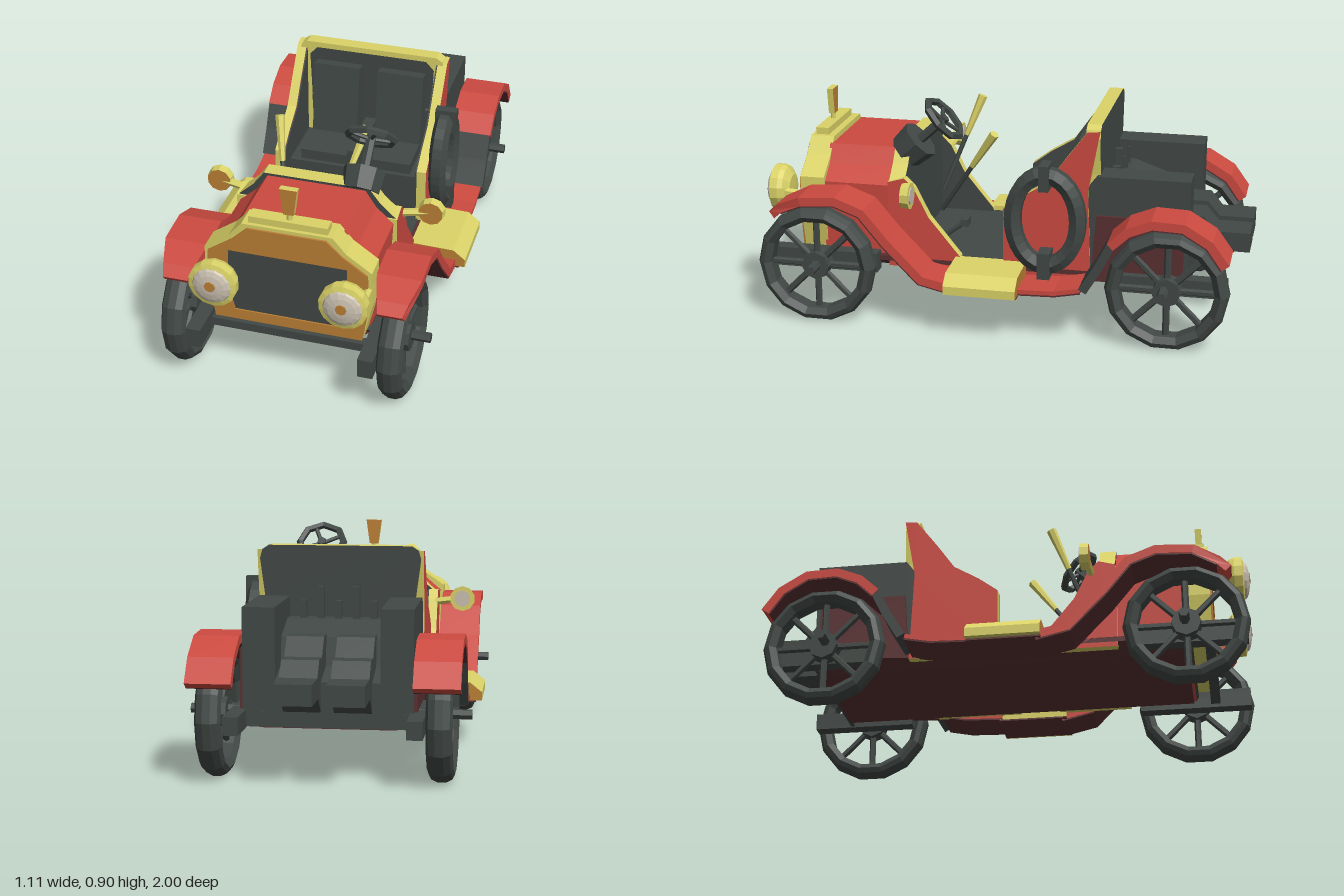
import * as THREE from 'three';

const paint = (name, color) => Object.assign(new THREE.MeshStandardMaterial({ color }), { name });
const red = paint('red paint', 0xcb4a40);
const maroon = paint('dark underside', 0x5a3032);
const brass = paint('pale brass', 0xdbd368);
const bronze = paint('bronze', 0xbd8036);
const dark = paint('dark leather and iron', 0x414845);
const glass = paint('lamp glass', 0xcac0b0);

const V = (x, y, z) => new THREE.Vector3(x, y, z);
const shapeOf = pts => new THREE.Shape(pts.map(p => new THREE.Vector2(p[0], p[1])));

// Faceted mesh added to a parent
function add(parent, name, geo, mat, x = 0, y = 0, z = 0) {
  const g = geo.index ? geo.toNonIndexed() : geo;
  g.computeVertexNormals();
  const m = new THREE.Mesh(g, mat);
  m.name = name;
  m.position.set(x, y, z);
  parent.add(m);
  return m;
}
// Box given by its min and max on each axis
function box(parent, name, mat, x0, x1, y0, y1, z0, z1) {
  return add(parent, name, new THREE.BoxGeometry(x1 - x0, y1 - y0, z1 - z0), mat,
    (x0 + x1) / 2, (y0 + y1) / 2, (z0 + z1) / 2);
}
// (z, y) outline pushed out from x0 to x1
function sideExtrude(pts, x0, x1) {
  return new THREE.ExtrudeGeometry(shapeOf(pts), { depth: x1 - x0, bevelEnabled: false })
    .rotateY(-Math.PI / 2).translate(x1, 0, 0);
}
// (x, y) outline pushed out from z0 to z1
function frontExtrude(pts, z0, z1, hole) {
  const s = shapeOf(pts);
  if (hole) s.holes.push(shapeOf(hole));
  return new THREE.ExtrudeGeometry(s, { depth: z1 - z0, bevelEnabled: false }).translate(0, 0, z0);
}
// Same outline on the +x or -x side
const onSide = (s, pts, a, b) => s > 0 ? sideExtrude(pts, a, b) : sideExtrude(pts, -b, -a);
const mirrored = half => [...half, ...half.slice().reverse().map(([x, y]) => [-x, y])];

function rod(parent, name, mat, a, b, r0, r1 = r0, sides = 6) {
  const d = b.clone().sub(a);
  const m = add(parent, name, new THREE.CylinderGeometry(r1, r0, d.length(), sides), mat);
  m.position.copy(a).add(b).multiplyScalar(0.5);
  m.quaternion.setFromUnitVectors(V(0, 1, 0), d.normalize());
  return m;
}
// Curved strip between depths t0 and t1 below a (z, y) path running front to rear
function band(pts, t0, t1) {
  const offset = t => pts.map((p, i) => {
    const a = pts[Math.max(i - 1, 0)], b = pts[Math.min(i + 1, pts.length - 1)];
    const dz = b[0] - a[0], dy = b[1] - a[1], l = Math.hypot(dz, dy);
    return [p[0] - dy / l * t, p[1] + dz / l * t];
  });
  return [...offset(t0), ...offset(t1).reverse()];
}
// Narrows a front wing towards its tip
function taperTip(geo, cx) {
  const p = geo.attributes.position;
  for (let i = 0; i < p.count; i++) {
    const k = THREE.MathUtils.clamp((p.getZ(i) - 0.8) / 0.12, 0, 1);
    p.setX(i, cx + (p.getX(i) - cx) * (1 - 0.45 * k));
  }
  return geo;
}

function wheel(parent, name, x, z) {
  const g = new THREE.Group();
  g.name = name;
  g.position.set(x, 0.245, z);
  const tyre = [[0.19, -0.03], [0.215, -0.05], [0.235, -0.04], [0.247, -0.015], [0.247, 0.015],
    [0.235, 0.04], [0.215, 0.05], [0.19, 0.03], [0.19, -0.03]].map(p => new THREE.Vector2(...p));
  add(g, 'tyre', new THREE.LatheGeometry(tyre, 14).rotateZ(Math.PI / 2), dark);
  add(g, 'hub', new THREE.CylinderGeometry(0.058, 0.058, 0.07, 8).rotateZ(Math.PI / 2), dark);
  for (let i = 0; i < 8; i++) {
    const a = i * Math.PI / 4, c = Math.cos(a), s = Math.sin(a);
    rod(g, 'spoke', dark, V(0, c * 0.04, s * 0.04), V(0, c * 0.2, s * 0.2), 0.014);
  }
  parent.add(g);
}

export function createModel() {
  const car = new THREE.Group();
  car.name = 'vintage open car';
  car.rotation.y = 0.019; // parked very slightly askew

  // Underbody and floor
  add(car, 'underbody', frontExtrude([[0.33, 0.24], [0.33, 0.26], [-0.33, 0.26], [-0.33, 0.24], [-0.26, 0.2], [0.26, 0.2]], -0.76, 0.73), maroon);
  box(car, 'cockpitFloor', dark, -0.3, 0.3, 0.255, 0.266, -0.36, 0.4);

  // Bonnet, radiator and cowl
  add(car, 'bonnet', frontExtrude(mirrored([[0.3, 0.23], [0.315, 0.56], [0.245, 0.62], [0.2, 0.69]]), 0.45, 0.74), red);
  add(car, 'radiatorShell', frontExtrude(mirrored([[0.295, 0.265], [0.33, 0.42], [0.33, 0.58], [0.23, 0.65], [0.178, 0.712]]), 0.73, 0.83), brass);
  const grille = mirrored([[0.215, 0.31], [0.24, 0.41], [0.235, 0.585]]);
  add(car, 'radiatorFace', frontExtrude(mirrored([[0.295, 0.265], [0.32, 0.42], [0.315, 0.57], [0.215, 0.64], [0.155, 0.698]]), 0.83, 0.838, grille), bronze);
  add(car, 'grille', frontExtrude(grille, 0.825, 0.832), dark);
  box(car, 'radiatorCap', brass, -0.155, 0.155, 0.7, 0.74, 0.76, 0.815);
  rod(car, 'mascotStem', brass, V(0, 0.73, 0.79), V(0, 0.78, 0.79), 0.012);
  add(car, 'mascot', frontExtrude(mirrored([[0.02, 0.765], [0.035, 0.875]]), 0.777, 0.803), [bronze, brass]);
  add(car, 'cowlBand', frontExtrude(mirrored([[0.29, 0.25], [0.29, 0.54], [0.325, 0.58], [0.26, 0.64], [0.215, 0.7]]), 0.39, 0.455), [dark, brass]);

  const cowlSide = [[0.46, 0.22], [0.46, 0.58], [0.39, 0.6], [0.35, 0.56], [0.29, 0.44], [0.16, 0.28], [0.15, 0.22]];
  const seatSide = [[-0.02, 0.22], [-0.02, 0.5], [-0.1, 0.56], [-0.2, 0.62], [-0.27, 0.72], [-0.36, 0.84], [-0.41, 0.845], [-0.365, 0.6], [-0.38, 0.22]];
  const frontPath = [[0.92, 0.47], [0.88, 0.505], [0.78, 0.55], [0.63, 0.56], [0.51, 0.515], [0.41, 0.395], [0.27, 0.25], [0.15, 0.225]];
  const rearPath = [[-0.47, 0.45], [-0.54, 0.515], [-0.64, 0.555], [-0.77, 0.55], [-0.88, 0.485], [-0.945, 0.395]];
  const sillPath = [[-0.1, 0.225], [-0.26, 0.23], [-0.36, 0.25]];
  const board = [[0.32, 0.2], [0.5, 0.2], [0.55, 0.2], [0.55, 0.235], [0.5, 0.275], [0.32, 0.28]];
  for (const s of [-1, 1]) {
    const side = s > 0 ? 'left' : 'right';

    // Side panels: red outside, brass edge, dark lining
    for (const [name, outline] of [['CowlPanel', cowlSide], ['SeatPanel', seatSide]]) {
      add(car, side + name, onSide(s, outline, 0.29, 0.33), [red, brass]);
      add(car, side + name + 'Lining', onSide(s, outline, 0.284, 0.289), dark);
    }

    // Wings, red above and dark below, flowing into the running board
    add(car, side + 'FrontWing', taperTip(onSide(s, band(frontPath, 0, 0.036), 0.335, 0.51), s * 0.42), red);
    add(car, side + 'FrontWingUnderside', taperTip(onSide(s, band(frontPath.slice(1), 0.036, 0.042), 0.337, 0.508), s * 0.42), maroon);
    add(car, side + 'RearWing', onSide(s, band(rearPath, 0, 0.036), 0.335, 0.51), red);
    add(car, side + 'RearWingUnderside', onSide(s, band(rearPath, 0.036, 0.042), 0.337, 0.508), maroon);
    add(car, side + 'WingGuard', onSide(s, band([[-0.36, 0.25], [-0.42, 0.35], [-0.47, 0.45]], 0, 0.035), 0.335, 0.508), dark);
    add(car, side + 'Sill', onSide(s, band(sillPath, 0, 0.018), 0.32, 0.5), red);
    add(car, side + 'SillUnderside', onSide(s, band(sillPath, 0.018, 0.025), 0.32, 0.498), maroon);
    add(car, side + 'RearWell', onSide(s, [[-0.38, 0.22], [-0.75, 0.24], [-0.75, 0.5], [-0.4, 0.5]], 0.315, 0.338), maroon);
    add(car, side + 'RunningBoard', frontExtrude(board.map(([x, y]) => [s * x, y]), -0.115, 0.178), [bronze, brass]);
    const inner = s * 0.32, outer = s * 0.525;
    box(car, side + 'BoardUnderside', maroon, Math.min(inner, outer), Math.max(inner, outer), 0.193, 0.2, -0.115, 0.178);

    // Wheels and springs
    wheel(car, side + 'FrontWheel', s * 0.43, 0.735);
    wheel(car, side + 'RearWheel', s * 0.43, -0.7);
    box(car, side + 'FrontSpring', dark, s * 0.342 - 0.03, s * 0.342 + 0.03, 0.2, 0.28, 0.5, 0.97);
    box(car, side + 'RearSpring', dark, s * 0.342 - 0.03, s * 0.342 + 0.03, 0.2, 0.27, -0.93, -0.5);

    // Headlamp
    const lamp = new THREE.Group();
    lamp.name = side + 'Headlamp';
    lamp.position.set(s * 0.255, 0.505, 0);
    car.add(lamp);
    const bowl = [[0, 0.885], [0.055, 0.888], [0.088, 0.91], [0.096, 0.93], [0.096, 0.962], [0.076, 0.968], [0, 0.965]];
    add(lamp, 'lampBowl', new THREE.LatheGeometry(bowl.map(q => new THREE.Vector2(...q)), 14).rotateX(Math.PI / 2), brass);
    const lens = new THREE.SphereGeometry(0.077, 14, 4, 0, Math.PI * 2, 0, Math.PI / 2).scale(1, 0.3, 1).rotateX(Math.PI / 2);
    add(lamp, 'lens', lens, glass, 0, 0, 0.967);
    add(lamp, 'bulb', new THREE.CylinderGeometry(0.022, 0.022, 0.008, 8).rotateX(Math.PI / 2), bronze, 0, 0.01, 0.988);
    rod(lamp, 'bracket', brass, V(s * 0.06, -0.01, 0.8), V(s * 0.06, 0, 0.93), 0.018);

    // Round mirror on an arm
    rod(car, side + 'MirrorArm', brass, V(s * 0.32, 0.55, 0.36), V(s * 0.43, 0.565, 0.35), 0.016);
    add(car, side + 'Mirror', new THREE.CylinderGeometry(0.055, 0.05, 0.035, 10).rotateX(-Math.PI / 2), [brass, brass, bronze], s * 0.44, 0.567, 0.348);
    add(car, side + 'MirrorGlass', new THREE.CylinderGeometry(0.036, 0.036, 0.006, 10).rotateX(Math.PI / 2), glass, s * 0.44, 0.567, 0.329);
  }
  rod(car, 'frontAxle', dark, V(-0.54, 0.25, 0.73), V(0.54, 0.25, 0.73), 0.02);
  rod(car, 'rearAxle', dark, V(-0.54, 0.255, -0.69), V(0.54, 0.255, -0.69), 0.02);
  box(car, 'frontCrossbar', dark, -0.33, 0.33, 0.215, 0.25, 0.8, 0.84);

  // Bench, cushions and seat back
  box(car, 'bench', dark, -0.283, 0.283, 0.25, 0.43, -0.36, -0.08);
  const back = mirrored([[0.285, 0.3], [0.3, 0.66], [0.32, 0.81], [0.31, 0.845], [0.285, 0.862]]);
  add(car, 'seatBack', frontExtrude(back, -0.41, -0.36), [dark, brass]);
  add(car, 'seatBackRim', frontExtrude(back, -0.36, -0.352, mirrored([[0.26, 0.44], [0.275, 0.8], [0.24, 0.838]])), brass);
  for (const x of [-0.14, 0.14]) {
    box(car, 'cushion', dark, x - 0.1, x + 0.1, 0.42, 0.475, -0.35, -0.1);
    box(car, 'backrest', dark, x - 0.1, x + 0.1, 0.46, 0.78, -0.37, -0.29).rotation.x = -0.12;
  }
  box(car, 'seatDivider', dark, -0.025, 0.025, 0.42, 0.52, -0.36, -0.07);

  // Rear deck with pegs and two stepped ducts
  for (const s of [-1, 1]) add(car, 'deckWall', onSide(s, [[-0.355, 0.24], [-0.355, 0.6], [-0.4, 0.66], [-0.77, 0.66], [-0.77, 0.24]], 0.2, 0.325), dark);
  add(car, 'deckFloor', sideExtrude([[-0.4, 0.23], [-0.4, 0.58], [-0.48, 0.58], [-0.62, 0.53], [-0.64, 0.42], [-0.775, 0.38], [-0.775, 0.23]], -0.2, 0.2), dark);
  box(car, 'rearCrossbar', dark, -0.325, 0.325, 0.205, 0.262, -0.772, -0.755);
  for (let i = 0; i < 5; i++) {
    const x = -0.14 + i * 0.07;
    box(car, 'peg', dark, x - 0.013, x + 0.013, 0.56, 0.65 + 0.055 * (i % 2), -0.465, -0.435);
  }
  const duct = [[-0.6, 0.3], [-0.6, 0.54], [-0.68, 0.54], [-0.74, 0.47], [-0.81, 0.47], [-0.86, 0.41], [-1, 0.41], [-1, 0.33], [-0.84, 0.33], [-0.77, 0.26]];
  for (const x of [-0.097, 0.097]) add(car, 'duct', sideExtrude(duct, x - 0.072, x + 0.072), dark);

  // Steering wheel on its column
  const steering = new THREE.Group();
  steering.name = 'steering';
  steering.position.set(0.17, 0.815, 0.26);
  steering.quaternion.setFromUnitVectors(V(0, 0, 1), V(0, 0.68, -0.73).normalize());
  add(steering, 'rim', new THREE.TorusGeometry(0.096, 0.016, 5, 8), dark);
  for (let i = 0; i < 4; i++) {
    const a = i * Math.PI / 2 + 0.4;
    rod(steering, 'spoke', dark, V(0, 0, -0.01), V(Math.cos(a) * 0.095, Math.sin(a) * 0.095, 0), 0.009);
  }
  rod(steering, 'column', dark, V(0, 0, -0.15), V(0, 0, 0.01), 0.02);
  rod(steering, 'columnDrum', dark, V(0, 0, -0.225), V(0, 0, -0.135), 0.075, 0.085, 8);
  car.add(steering);

  // Levers with brass grips, and a pedal
  for (const [a, b] of [[V(-0.01, 0.36, 0.32), V(0.1, 0.74, 0.065)], [V(-0.165, 0.4, 0.35), V(-0.232, 0.81, 0.19)]]) {
    const mid = a.clone().lerp(b, 0.58);
    rod(car, 'lever', dark, a, mid, 0.01);
    rod(car, 'leverGrip', brass, mid, b, 0.012, 0.02);
  }
  rod(car, 'pedalArm', dark, V(0.16, 0.28, 0.3), V(0.16, 0.37, 0.18), 0.01);
  box(car, 'pedal', dark, 0.13, 0.19, 0.36, 0.39, 0.16, 0.19);

  // Oval spare tyre strapped to the left side
  const oval = Array.from({ length: 14 }, (_, i) => i * Math.PI / 7).map(a => V(0.365, 0.478 + 0.19 * Math.sin(a), -0.2 + 0.132 * Math.cos(a)));
  add(car, 'spareTyre', new THREE.TubeGeometry(new THREE.CatmullRomCurve3(oval, true), 28, 0.038, 6, true), dark);
  box(car, 'spareStrapTop', dark, 0.325, 0.415, 0.61, 0.715, -0.22, -0.18);
  box(car, 'spareStrapBottom', dark, 0.325, 0.41, 0.24, 0.35, -0.225, -0.175);
  return car;
}
